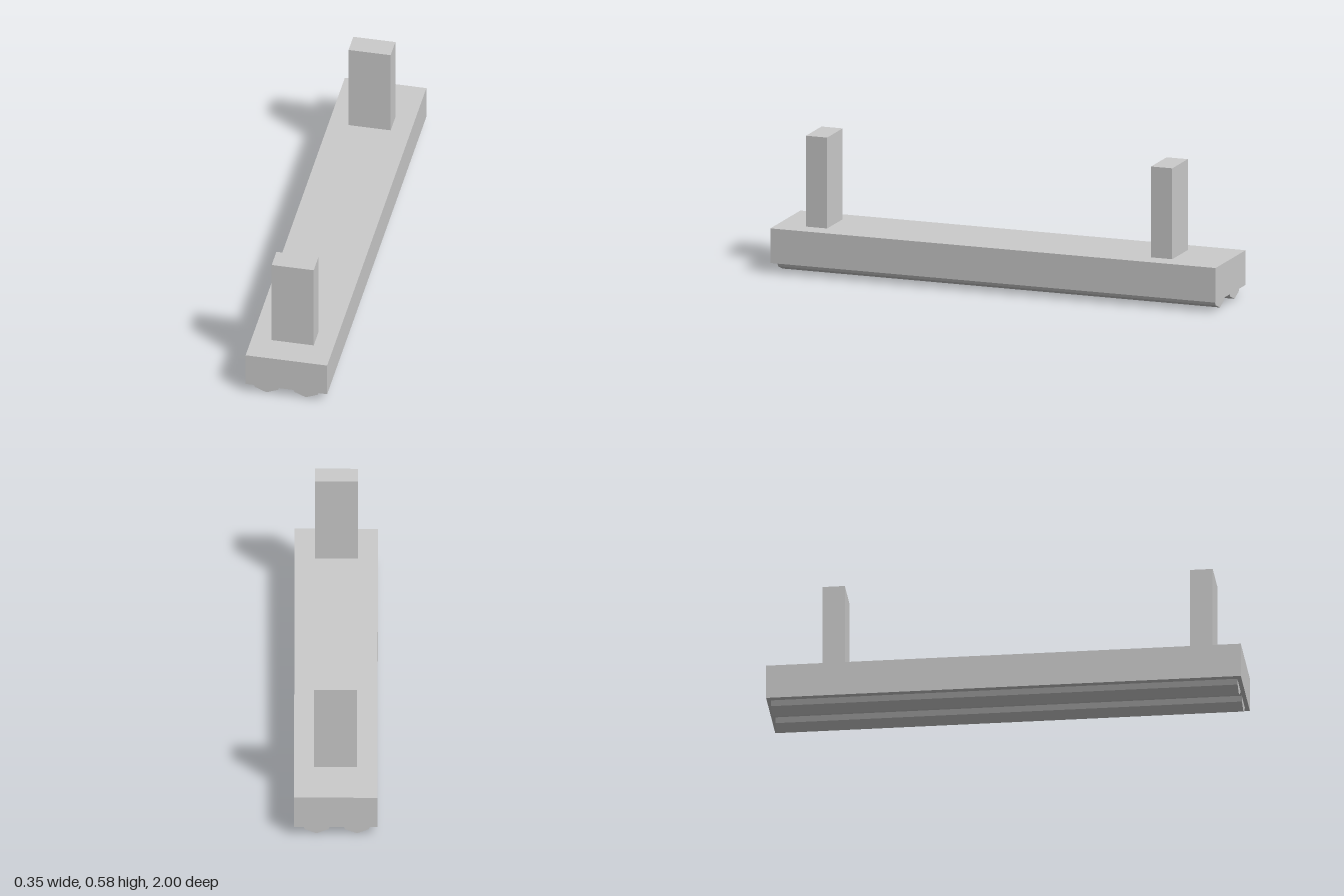
import * as THREE from 'three';

export function createModel() {
  const group = new THREE.Group();
  const material = new THREE.MeshStandardMaterial({ color: 0xcccccc, flatShading: true });

  function add(name, geometry, x, y, z) {
    const mesh = new THREE.Mesh(geometry, material);
    mesh.name = name;
    mesh.position.set(x, y, z);
    group.add(mesh);
    return mesh;
  }

  // Long housing
  add('housing', new THREE.BoxGeometry(0.349, 0.149, 2), 0, 0.1175, 0);

  // Hanging posts, set slightly unevenly along the housing
  for (const [name, z] of [['frontPost', 0.825], ['backPost', -0.725]]) {
    add(name, new THREE.BoxGeometry(0.18, 0.391, 0.095), 0, 0.3875, z);
  }

  // Eight-sided lamp tubes, half sunk into the underside
  for (const [name, x] of [['leftTube', 0.08], ['rightTube', -0.089]]) {
    const tube = add(name, new THREE.CylinderGeometry(0.07, 0.07, 1.965, 8), x, 0.07, 0);
    tube.rotation.x = Math.PI / 2;
  }

  return group;
}
